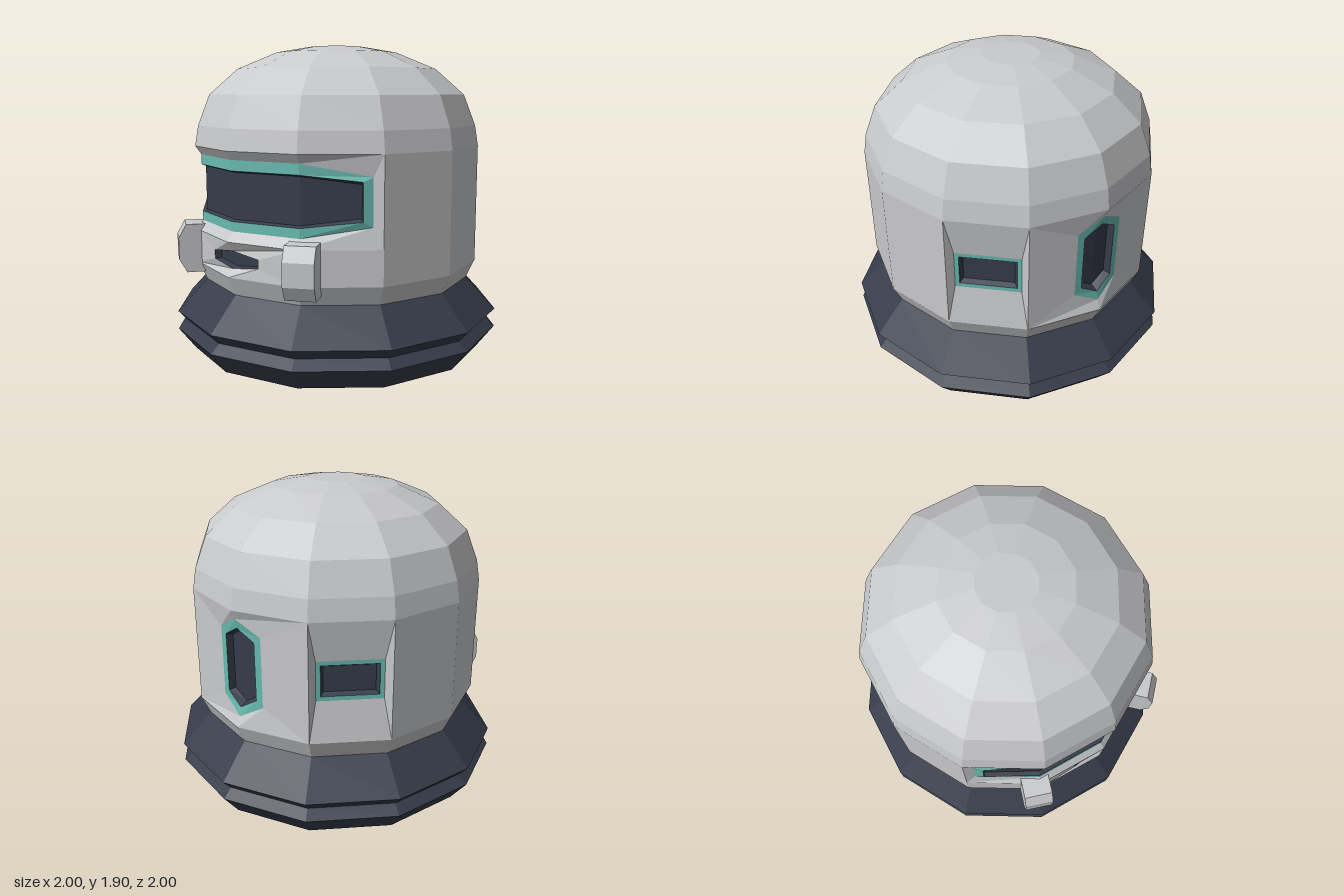
import * as THREE from 'three';

const rad = THREE.MathUtils.degToRad;
// point on the shell: angle in degrees from the front, radius, height
const P = (a, r, y) => new THREE.Vector3(r * Math.sin(rad(a)), y, r * Math.cos(rad(a)));

// flat-faced geometry out of corner-ordered quads
function quadGeometry(quads) {
  const pts = quads.flatMap(([a, b, c, d]) => [a, b, c, a, c, d]);
  const g = new THREE.BufferGeometry().setFromPoints(pts);
  g.computeVertexNormals();
  return g;
}

// turned part with twelve flat sides
function turned(profile) {
  const pts = profile.map(([r, y]) => new THREE.Vector2(r, y));
  const g = new THREE.LatheGeometry(pts, 12).toNonIndexed();
  g.computeVertexNormals();
  return g;
}

// loop of points from columns [angle, radius, top y, bottom y]
const loop = (cols) => [
  ...cols.map(([a, r, t]) => P(a, r, t)),
  ...cols.map(([a, r, , b]) => P(a, r, b)).reverse(),
];

// faces between an outer loop and an inner one
const bridge = (o, i) => o.map((p, k) => {
  const n = (k + 1) % o.length;
  return [o[n], p, i[k], i[n]];
});

// faces that close a loop, in vertical strips
const cap = (l) => l.slice(0, l.length / 2 - 1).map((t, k) => {
  const b = l.length - 1 - k;
  return [l[b], l[b - 1], l[k + 1], t];
});

export function createModel() {
  const group = new THREE.Group();
  const mat = (name, color) => {
    const m = new THREE.MeshStandardMaterial({ color });
    m.name = name;
    return m;
  };
  const grey = mat('shell grey', 0xc9cacc);
  const dark = mat('dark slate', 0x363c4a);
  const teal = mat('teal trim', 0x68bbb0);
  const add = (name, geometry, material, parent = group) => {
    const m = new THREE.Mesh(geometry, material);
    m.name = name;
    parent.add(m);
    return m;
  };

  // collar
  add('collar', turned([[0, 0], [0.7, 0], [0.9, 0.08], [1, 0.21], [0.945, 0.26], [1, 0.32], [0.82, 0.51]]), dark);

  // shell: lower lip, dome and the plain side panels
  const R = 0.87, LOW = 0.62, CHIN = 0.82, HIGH = 1.32;
  add('shellLip', turned([[0.82, 0.51], [R, LOW]]), grey);
  add('dome', turned([[R, HIGH], [0.85, 1.44], [0.78, 1.62], [0.61, 1.77], [0.37, 1.87], [0.17, 1.905], [0, 1.905]]), grey);
  const panel = (a, y0, y1) => [P(a, R, y0), P(a + 30, R, y0), P(a + 30, R, y1), P(a, R, y1)];
  add('sidePanels', quadGeometry([
    ...[60, 90, 240, 270].map((a) => panel(a, LOW, HIGH)),
    ...[30, -60].map((a) => panel(a, LOW, CHIN)),
  ]), grey);

  // recessed window: sloping surround, trim, inner wall and pane
  function addWindow(name, surround, outer, inner, glass) {
    const w = new THREE.Group();
    w.name = name;
    group.add(w);
    const [s, o, i, g] = [surround, outer, inner, glass].map(loop);
    add(name + 'Surround', quadGeometry(bridge(s, o)), grey, w);
    if (inner !== outer) add(name + 'Trim', quadGeometry(bridge(o, i)), teal, w);
    add(name + 'Pane', quadGeometry([...bridge(i, g), ...cap(g)]), dark, w);
  }

  // visor across the four front panels
  addWindow('visor',
    [-60, -30, 0, 30, 60].map((a) => [a, R, HIGH, CHIN]),
    [[-56.7, 0.838, 1.2, 0.935], [-30, 0.835, 1.27, 0.875], [0, 0.835, 1.27, 0.875], [30, 0.835, 1.27, 0.875], [56.7, 0.838, 1.2, 0.935]],
    [[-53, 0.838, 1.175, 0.965], [-30, 0.835, 1.21, 0.93], [0, 0.835, 1.21, 0.93], [30, 0.835, 1.21, 0.93], [53, 0.838, 1.175, 0.965]],
    [[-53, 0.81, 1.16, 0.98], [-30, 0.81, 1.2, 0.94], [0, 0.81, 1.2, 0.94], [30, 0.81, 1.2, 0.94], [53, 0.81, 1.16, 0.98]]);

  // chin vent
  const slot = [[-13, 0.835, 0.74, 0.69], [0, 0.835, 0.765, 0.665], [13, 0.835, 0.74, 0.69]];
  addWindow('vent', [-30, 0, 30].map((a) => [a, R, CHIN, LOW]), slot, slot,
    [[-12, 0.8, 0.735, 0.695], [0, 0.8, 0.755, 0.675], [12, 0.8, 0.735, 0.695]]);

  // six-sided window at the back
  addWindow('rearWindow',
    [150, 180, 210].map((a) => [a, R, HIGH, LOW]),
    [[169.5, 0.824, 1.18, 0.765], [180, 0.845, 1.265, 0.68], [190.5, 0.824, 1.18, 0.765]],
    [[172.5, 0.824, 1.145, 0.8], [180, 0.835, 1.21, 0.735], [187.5, 0.824, 1.145, 0.8]],
    [[173.3, 0.785, 1.135, 0.81], [180, 0.785, 1.19, 0.755], [186.7, 0.785, 1.135, 0.81]]);

  // small windows on the rear quarters
  for (const [name, mid] of [['leftWindow', 135], ['rightWindow', 225]]) {
    const cols = (half, r, t, b) => [[mid - half, r, t, b], [mid + half, r, t, b]];
    addWindow(name, cols(15, R, HIGH, LOW), cols(12.9, 0.828, 1.09, 0.86),
      cols(11.2, 0.822, 1.065, 0.885), cols(10.4, 0.79, 1.05, 0.9));
  }

  // chamfered blocks on both sides of the vent
  const profile = new THREE.Shape([
    [0.78, 0.57], [0.94, 0.57], [0.985, 0.65], [0.985, 0.78], [0.94, 0.86], [0.78, 0.86],
  ].map(([x, y]) => new THREE.Vector2(x, y)));
  for (const [name, side] of [['leftChinBlock', 1], ['rightChinBlock', -1]]) {
    const g = new THREE.ExtrudeGeometry(profile, { depth: 0.17, bevelEnabled: false });
    g.translate(0, 0, -0.085);
    g.rotateY(rad(32 * side - 90));
    add(name, g, grey);
  }

  return group;
}
